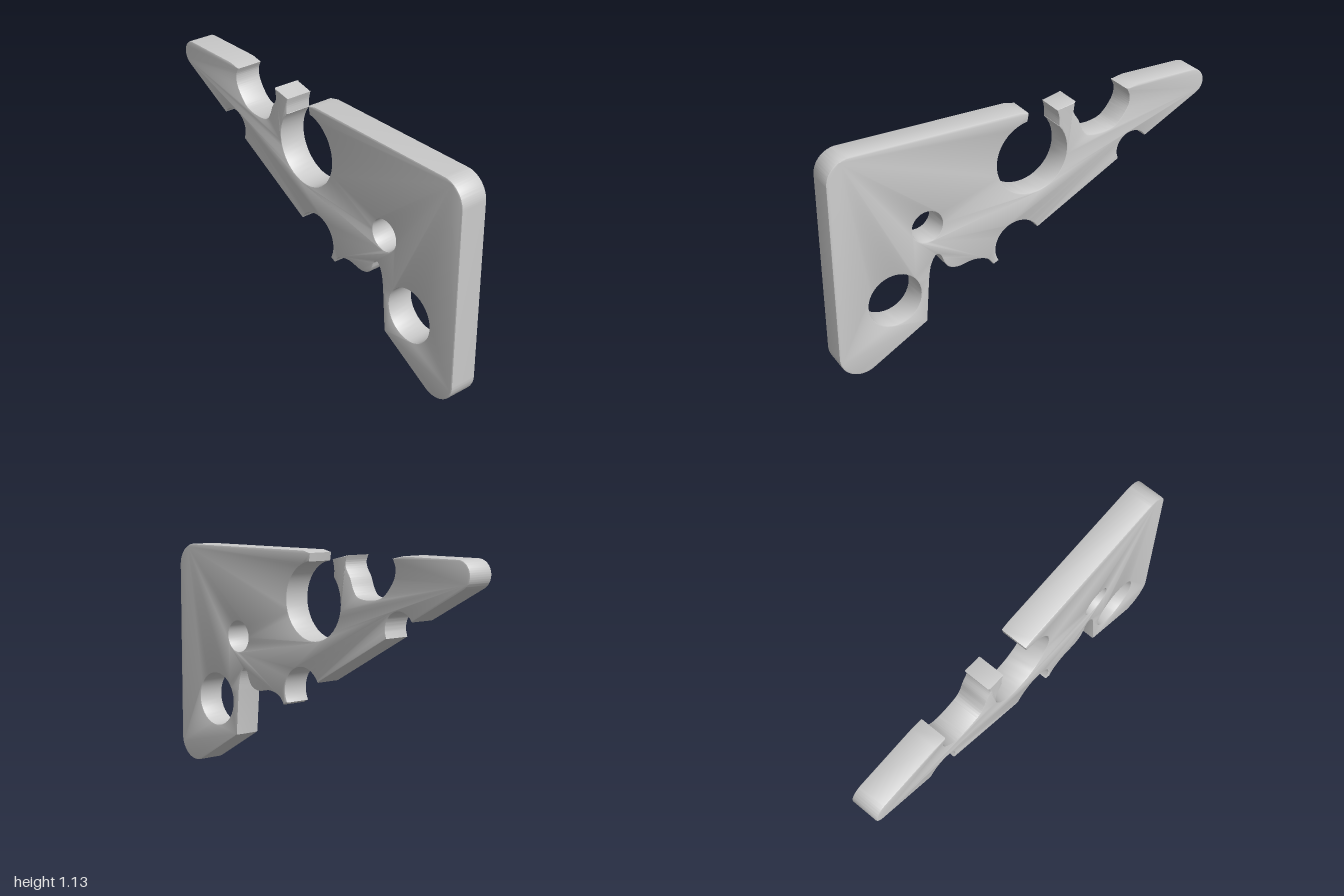
import * as THREE from 'three';
import { toCreasedNormals } from 'three/addons/utils/BufferGeometryUtils.js';

const HALF = 0.07, BEVEL = 0.006;
const rad = THREE.MathUtils.degToRad;
const points = (list) => list.map(([x, y]) => new THREE.Vector2(x, y));

// Adds an arc by centre, radius and angles in degrees
function arc(path, x, y, r, from, to) {
  path.absarc(x, y, r, rad(from), rad(to), to < from);
}

function wedgeOutline() {
  const s = new THREE.Shape();
  // rounded tip and top edge
  s.moveTo(-0.93, 1.133);
  s.lineTo(-0.61, 1.133);
  s.lineTo(-0.545, 1.12);
  // irregular notch in the top edge
  s.splineThru(points([[-0.562, 1.08], [-0.555, 1.03], [-0.515, 0.972], [-0.47, 0.938], [-0.4, 0.926],
    [-0.33, 0.935], [-0.3, 0.97], [-0.28, 1.02], [-0.255, 1.06], [-0.248, 1.09], [-0.26, 1.122]]));
  s.lineTo(-0.16, 1.1);
  s.splineThru(points([[-0.17, 1.06], [-0.17, 1.02]]));
  // large open bite
  arc(s, -0.027, 0.895, 0.188, 139, 442);
  s.lineTo(-0.008, 1.122);
  s.lineTo(0.04, 1.133);
  // rounded thick end
  arc(s, 0.885, 1.018, 0.115, 90, 0);
  arc(s, 0.885, 0.115, 0.115, 0, -119);
  // scalloped cut in the slanted edge
  s.lineTo(0.545, 0.178);
  s.lineTo(0.527, 0.405);
  s.splineThru(points([[0.515, 0.475], [0.488, 0.522], [0.463, 0.51], [0.447, 0.47], [0.42, 0.436],
    [0.37, 0.424], [0.29, 0.435], [0.22, 0.417], [0.185, 0.377]]));
  // round bites in the slanted edge
  arc(s, 0.05, 0.452, 0.123, -30, 151);
  s.lineTo(-0.512, 0.76);
  arc(s, -0.59, 0.8, 0.087, -7, 148);
  arc(s, -0.93, 1.065, 0.068, 241, 90);
  // round through holes
  for (const [x, y, r] of [[0.527, 0.683, 0.078], [0.705, 0.345, 0.134]]) {
    const hole = new THREE.Path();
    arc(hole, x, y, r, 0, 360);
    s.holes.push(hole);
  }
  return s;
}

export function createModel() {
  const group = new THREE.Group();
  group.name = 'cheeseWedge';
  const geometry = new THREE.ExtrudeGeometry(wedgeOutline(), {
    depth: 2 * (HALF - BEVEL), curveSegments: 18,
    bevelThickness: BEVEL, bevelSize: BEVEL, bevelOffset: -BEVEL, bevelSegments: 2,
  });
  geometry.translate(0, 0, BEVEL - HALF);
  const slice = new THREE.Mesh(toCreasedNormals(geometry, 0.5),
    new THREE.MeshStandardMaterial({ color: 0xcccccc }));
  slice.name = 'cheeseSlice';
  group.add(slice);
  return group;
}
